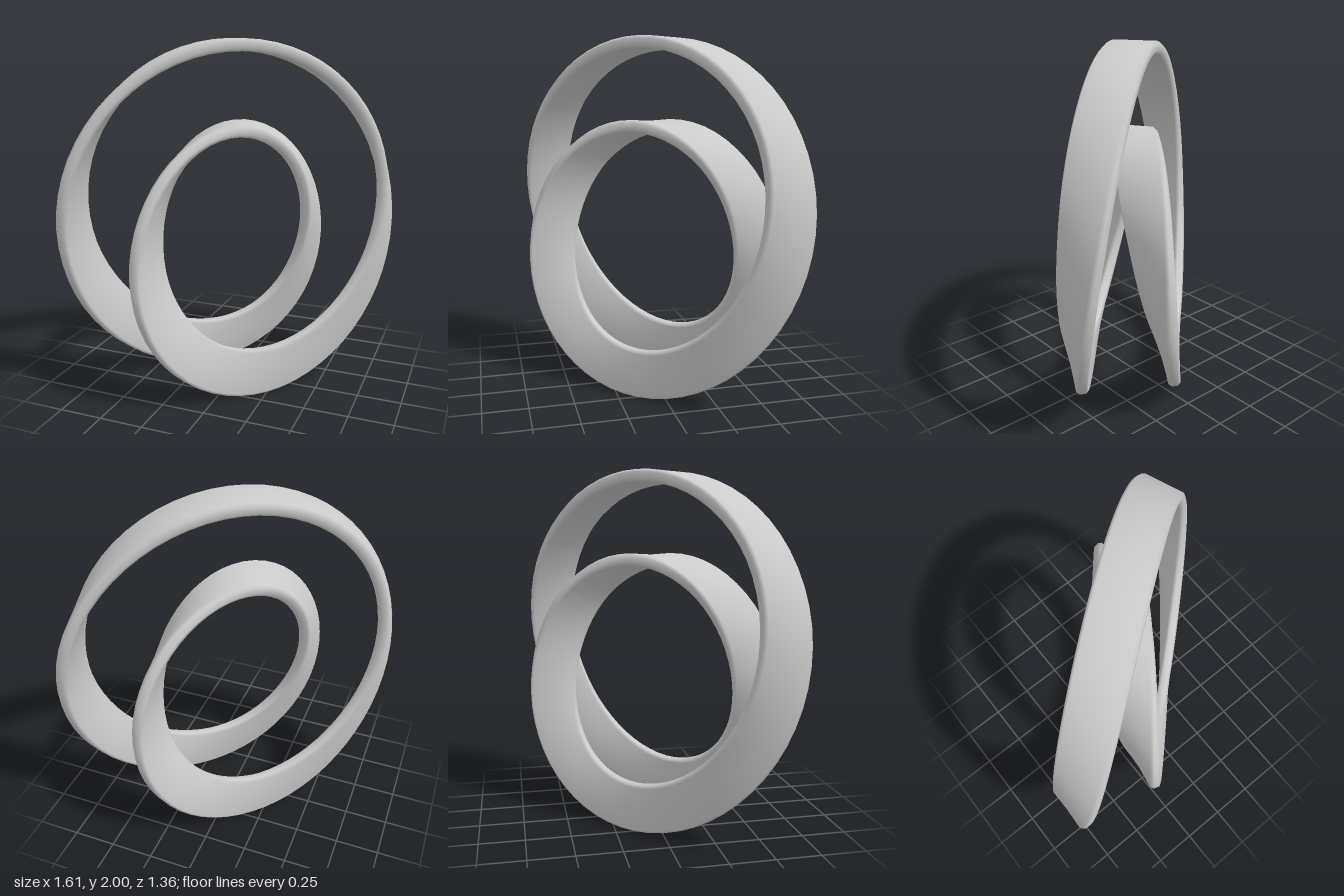
import * as THREE from 'three';

// Centre line: a closed curve that winds twice, outer loop then inner loop
function centre(t) {
  const { sin, cos } = Math;
  return new THREE.Vector3(
    0.525 * sin(2 * t) + 0.31 * sin(t) + 0.02 * sin(3 * t),
    0.94 + 0.795 * cos(2 * t) + 0.232 * cos(t),
    -0.53 * sin(2 * t) + 0.05 * sin(t) - 0.03 * sin(3 * t)
  );
}

// Flat band section with chamfered corners: [thickness, width] offsets
const T = 0.034, W = 0.135, C = 0.016;
const section = [
  [T, -W + C], [T, 0], [T, W - C], [T - C, W], [-T + C, W],
  [-T, W - C], [-T, 0], [-T, -W + C], [-T + C, -W], [T - C, -W],
];

// Sweep the section, turning its width from z (sides and top) to y (bottom)
function bandGeometry(steps) {
  const positions = [], index = [], n = section.length;
  for (let i = 0; i < steps; i++) {
    const t = (i / steps) * Math.PI * 2;
    const p = centre(t);
    const tangent = centre(t + 0.001).sub(centre(t - 0.001)).normalize();
    const wide = new THREE.Vector3(0, Math.sin(t), Math.cos(t));
    wide.addScaledVector(tangent, -wide.dot(tangent)).normalize();
    const thin = new THREE.Vector3().crossVectors(wide, tangent);
    for (const [u, v] of section) {
      const q = p.clone().addScaledVector(thin, u).addScaledVector(wide, v);
      positions.push(q.x, q.y, q.z);
    }
    const next = (i + 1) % steps;
    for (let j = 0; j < n; j++) {
      const k = (j + 1) % n;
      const a = i * n + j, b = i * n + k, c = next * n + j, d = next * n + k;
      index.push(a, b, c, b, d, c);
    }
  }
  const geometry = new THREE.BufferGeometry();
  geometry.setAttribute('position', new THREE.Float32BufferAttribute(positions, 3));
  geometry.setIndex(index);
  geometry.computeVertexNormals();
  return geometry;
}

export function createModel() {
  const group = new THREE.Group();
  group.name = 'doubleLoopSculpture';
  const band = new THREE.Mesh(
    bandGeometry(120),
    new THREE.MeshStandardMaterial({ color: 0xcccccc })
  );
  band.name = 'loopedBand';
  group.add(band);
  return group;
}
